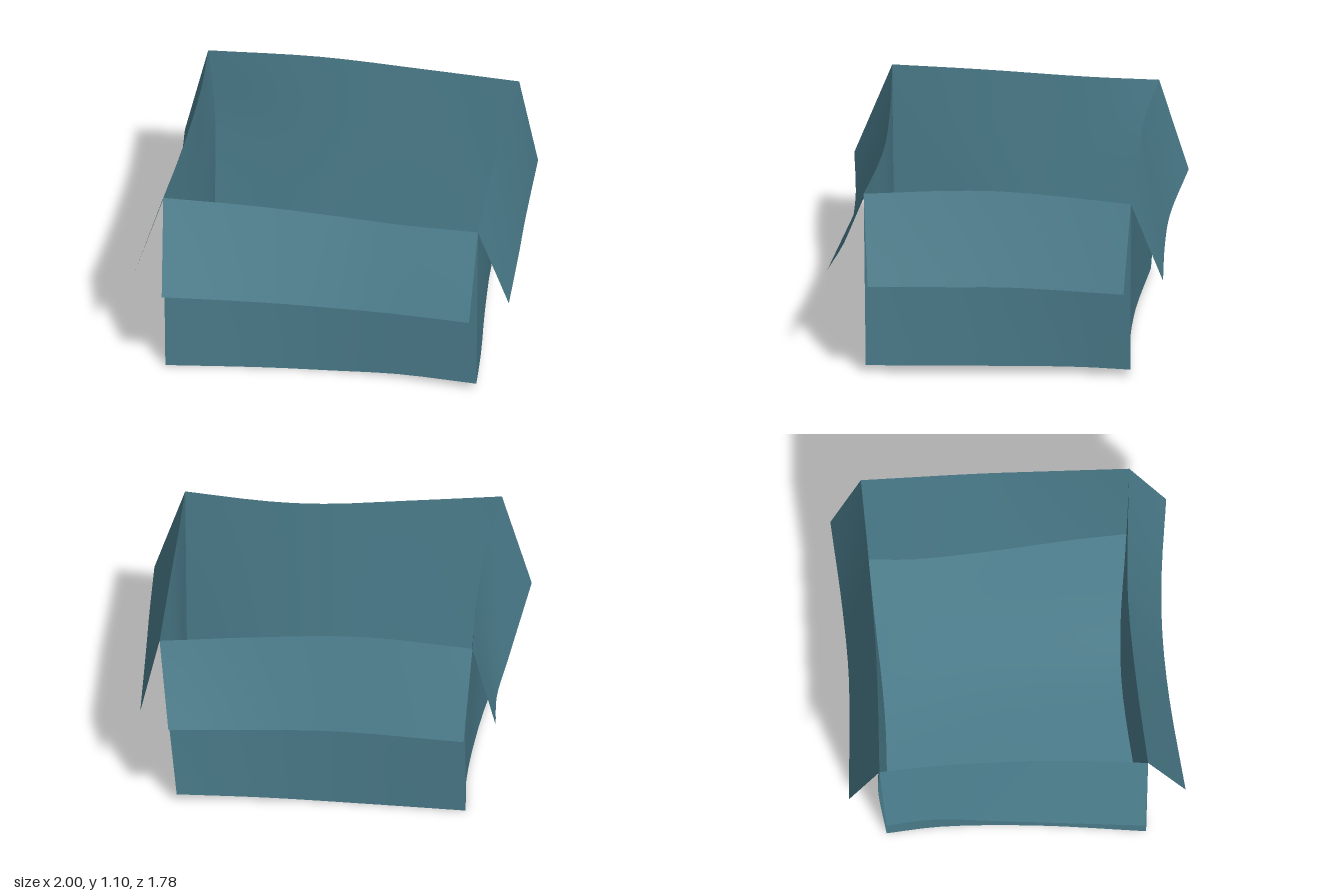
import * as THREE from 'three';

const SEG = 12;
const material = new THREE.MeshStandardMaterial({ color: 0x4b7d8c, side: THREE.DoubleSide });
const V = (p) => new THREE.Vector3(...p);
const curve = (pts) => new THREE.CatmullRomCurve3(pts.map(V), false, 'centripetal');

// Grid surface from a function of (u, v), with smooth normals
function sheet(name, fn, rows = SEG) {
  const pos = [], idx = [];
  for (let j = 0; j <= rows; j++) {
    for (let i = 0; i <= SEG; i++) {
      pos.push(...fn(i / SEG, j / rows).toArray());
      if (i < SEG && j < rows) {
        const a = j * (SEG + 1) + i, b = a + SEG + 1;
        idx.push(a, b, a + 1, a + 1, b, b + 1);
      }
    }
  }
  const geo = new THREE.BufferGeometry();
  geo.setAttribute('position', new THREE.Float32BufferAttribute(pos, 3));
  geo.setIndex(idx);
  geo.computeVertexNormals();
  const mesh = new THREE.Mesh(geo, material);
  mesh.name = name;
  return mesh;
}

// Surface passing through a stack of edge curves, top to bottom
function loft(name, edges) {
  const curves = edges.map(curve);
  return sheet(name, (u, v) =>
    new THREE.CatmullRomCurve3(curves.map((c) => c.getPoint(u)), false, 'centripetal').getPoint(v));
}

export function createModel() {
  const group = new THREE.Group();
  group.name = 'openBox';

  // Rim and floor corners (front/back, -x = A, +x = B)
  const rFA = [-0.84, 1.09, 0.69], rFB = [0.84, 1.03, 0.69];
  const rBA = [-0.80, 1.07, -0.73], rBB = [0.86, 1.03, -0.73];
  const fFA = [-0.83, 0.01, 0.68], fFB = [0.83, 0.05, 0.68];
  const fBA = [-0.76, 0.01, -0.69], fBB = [0.77, 0.05, -0.72];
  const bend = [-0.765, 0.68, -0.735]; // bowed back corner

  // Each side: rim, optional bowed middle, floor edge, flap edge; left to right seen from outside
  const sides = {
    front: {
      rim: [rFA, [-0.35, 1.06, 0.655], [0.1, 1.025, 0.64], [0.4, 1.015, 0.655], rFB],
      floor: [fFA, [-0.3, 0.005, 0.62], [0.05, 0.005, 0.6], [0.4, 0.03, 0.62], fFB],
      flap: [[-0.82, 0.59, 0.89], [-0.3, 0.57, 0.835], [0.07, 0.56, 0.82], [0.4, 0.565, 0.835], [0.82, 0.58, 0.885]],
    },
    left: {
      rim: [rFB, [0.84, 1.065, 0.2], [0.845, 1.07, -0.1], rBB],
      floor: [fFB, [0.815, 0.05, 0.4], [0.78, 0.05, 0], [0.755, 0.05, -0.45], fBB],
      flap: [[1.0, 0.565, 0.655], [0.99, 0.575, 0.2], [0.98, 0.58, -0.1], [0.965, 0.555, -0.70]],
    },
    back: {
      rim: [rBB, [0.35, 1.07, -0.715], [-0.2, 1.1, -0.71], rBA],
      mid: [[0.815, 0.54, -0.725], [0.3, 0.55, -0.695], [-0.2, 0.57, -0.69], bend],
      floor: [fBB, [0.3, 0.025, -0.675], [-0.2, 0.005, -0.66], fBA],
      flap: [[0.80, 0.575, -0.895], [0.3, 0.58, -0.86], [-0.1, 0.585, -0.85], [-0.765, 0.58, -0.89]],
    },
    right: {
      rim: [rBA, [-0.785, 1.08, -0.35], [-0.80, 1.095, 0.2], rFA],
      mid: [bend, [-0.765, 0.56, -0.3], [-0.78, 0.55, 0.2], [-0.835, 0.55, 0.685]],
      floor: [fBA, [-0.74, 0.01, -0.4], [-0.765, 0.015, 0.1], fFA],
      flap: [[-0.92, 0.57, -0.70], [-0.905, 0.58, -0.45], [-0.935, 0.58, -0.1], [-1.0, 0.565, 0.665]],
    },
  };

  // Walls and folded-down flaps
  for (const [name, s] of Object.entries(sides)) {
    group.add(loft(name + 'Wall', s.mid ? [s.rim, s.mid, s.floor] : [s.rim, s.floor]));
    group.add(loft(name + 'Flap', [s.rim, s.flap]));
  }

  // Floor blended between its four curved edges
  const F = curve(sides.front.floor), B = curve(sides.back.floor);
  const L = curve(sides.left.floor), R = curve(sides.right.floor);
  const [c00, c10, c01, c11] = [fFA, fFB, fBA, fBB].map(V);
  group.add(sheet('floor', (u, v) => {
    const p = F.getPoint(u).lerp(B.getPoint(1 - u), v);
    p.add(R.getPoint(1 - v).lerp(L.getPoint(v), u));
    return p.sub(c00.clone().lerp(c10, u).lerp(c01.clone().lerp(c11, u), v));
  }));

  return group;
}
